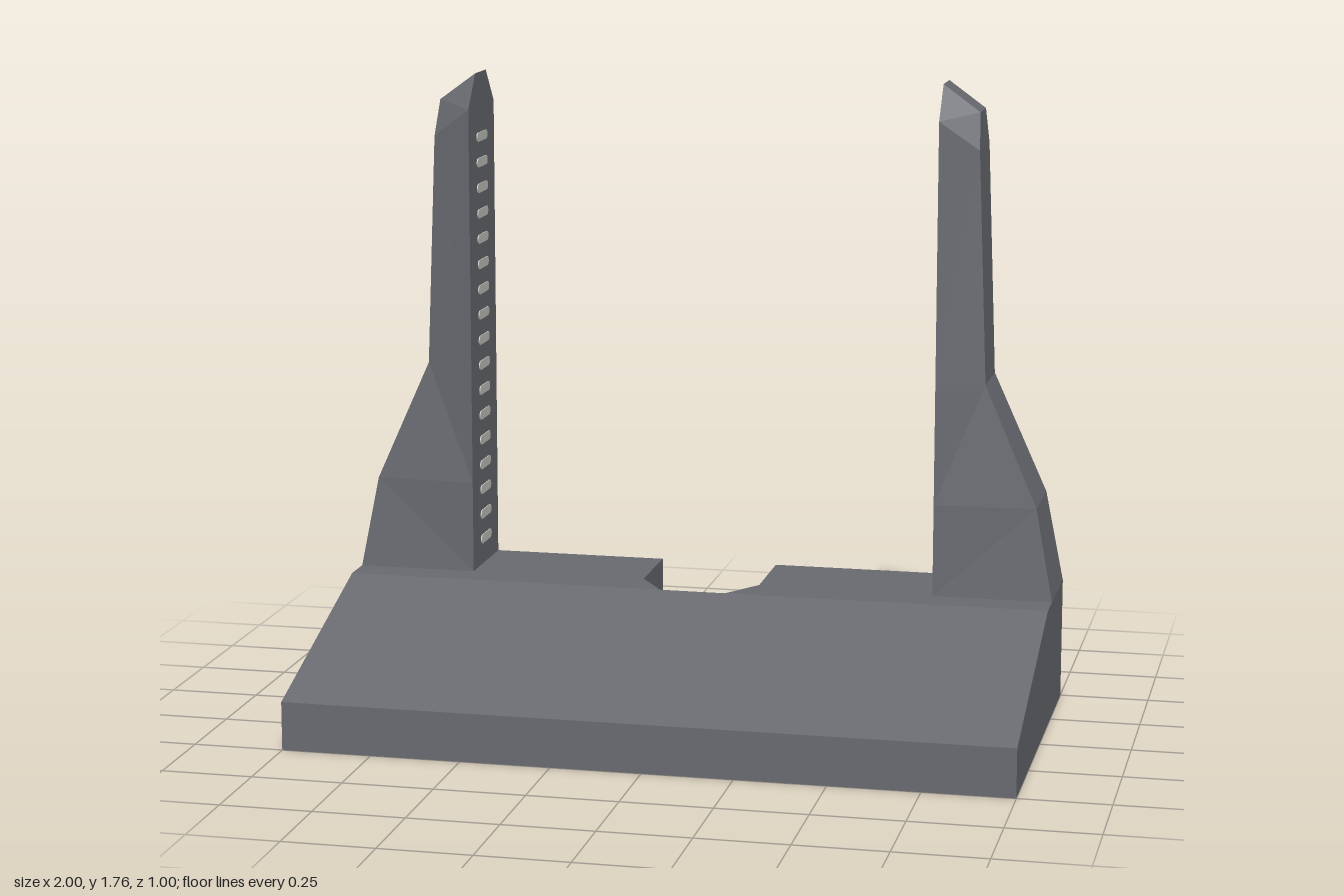
import * as THREE from 'three';

export function createModel() {
  const model = new THREE.Group();
  const body = new THREE.MeshStandardMaterial({ color: 0x686a70 });
  body.name = 'slate grey';
  const light = new THREE.MeshStandardMaterial({ color: 0xc4c4c0 });
  light.name = 'pale grey';

  const add = (geometry, material, name, parent = model) => {
    const mesh = new THREE.Mesh(geometry, material);
    mesh.name = name;
    parent.add(mesh);
    return mesh;
  };
  const shapeOf = (points) => new THREE.Shape(points.map(([x, y]) => new THREE.Vector2(x, y)));

  const DECK = 0.34, CREASE = -0.14, BACK = -0.5, INNER = 0.665;

  // Sloped front of the base: side profile (z, y) swept along x
  const ramp = new THREE.ExtrudeGeometry(
    shapeOf([[CREASE, 0], [0.5, 0], [0.5, 0.135], [CREASE, DECK]]),
    { depth: 2, bevelEnabled: false });
  ramp.rotateY(-Math.PI / 2).translate(1, 0, 0);
  add(ramp, body, 'baseRamp');

  // Rear deck halves, leaving the chamfered notch between them
  const rearDeck = (s) => {
    const plan = [[0.093, CREASE], [1, CREASE], [1, BACK], [0.168, BACK], [0.168, -0.255]];
    const g = new THREE.ExtrudeGeometry(
      shapeOf(plan.map(([x, z]) => [s * x, -z])), { depth: DECK, bevelEnabled: false });
    return g.rotateX(-Math.PI / 2);
  };

  // Upright levels: inner y, inner front z, inner back z, outer x, outer y, outer front z, outer back z
  const levels = [
    [DECK, -0.235, BACK, 1, DECK, -0.235, BACK],
    [0.6, -0.235, BACK, 0.95, 0.6, -0.25, -0.482],
    [0.94, -0.235, BACK, 0.8, 0.94, -0.267, -0.462],
    [1.67, -0.235, BACK, 0.774, 1.59, -0.267, -0.462],
    [1.765, -0.31, -0.42, 0.768, 1.69, -0.31, -0.42],
  ];
  const upright = (s) => {
    const rings = levels.map(([iy, if_, ib, ox, oy, of_, ob]) => [
      [s * INNER, iy, if_], [s * ox, oy, of_], [s * ox, oy, ob], [s * INNER, iy, ib],
    ]);
    const pos = [];
    const quad = (a, b, c, d) => {
      const order = s > 0 ? [a, b, c, a, c, d] : [a, c, b, a, d, c];
      order.forEach((p) => pos.push(...p));
    };
    for (let k = 0; k < rings.length - 1; k++) {
      const lo = rings[k], hi = rings[k + 1];
      for (let i = 0; i < 4; i++) {
        const j = (i + 1) % 4;
        quad(lo[i], lo[j], hi[j], hi[i]);
      }
    }
    quad(...rings[rings.length - 1]);
    const g = new THREE.BufferGeometry();
    g.setAttribute('position', new THREE.Float32BufferAttribute(pos, 3));
    g.computeVertexNormals();
    return g;
  };

  // Rounded slot plate lying on the inner face of an upright
  const half = 0.04, r = 0.013;
  const slotShape = new THREE.Shape();
  slotShape.absarc(half, 0, r, -Math.PI / 2, Math.PI / 2, false);
  slotShape.absarc(-half, 0, r, Math.PI / 2, Math.PI * 1.5, false);
  const slotGeometry = new THREE.ExtrudeGeometry(slotShape, { depth: 0.004, bevelEnabled: false, curveSegments: 6 });
  slotGeometry.translate(0, 0, -0.002).rotateY(Math.PI / 2);

  for (const [s, side] of [[1, 'left'], [-1, 'right']]) {
    add(rearDeck(s), body, side + 'RearDeck');
    add(upright(s), body, side + 'Upright');
    const slots = new THREE.Group();
    slots.name = side + 'Slots';
    for (let i = 0; i < 17; i++) {
      add(slotGeometry, light, 'slot', slots).position.set(s * (INNER - 0.001), 0.414 + i * 0.073, -0.3675);
    }
    model.add(slots);
  }
  return model;
}
